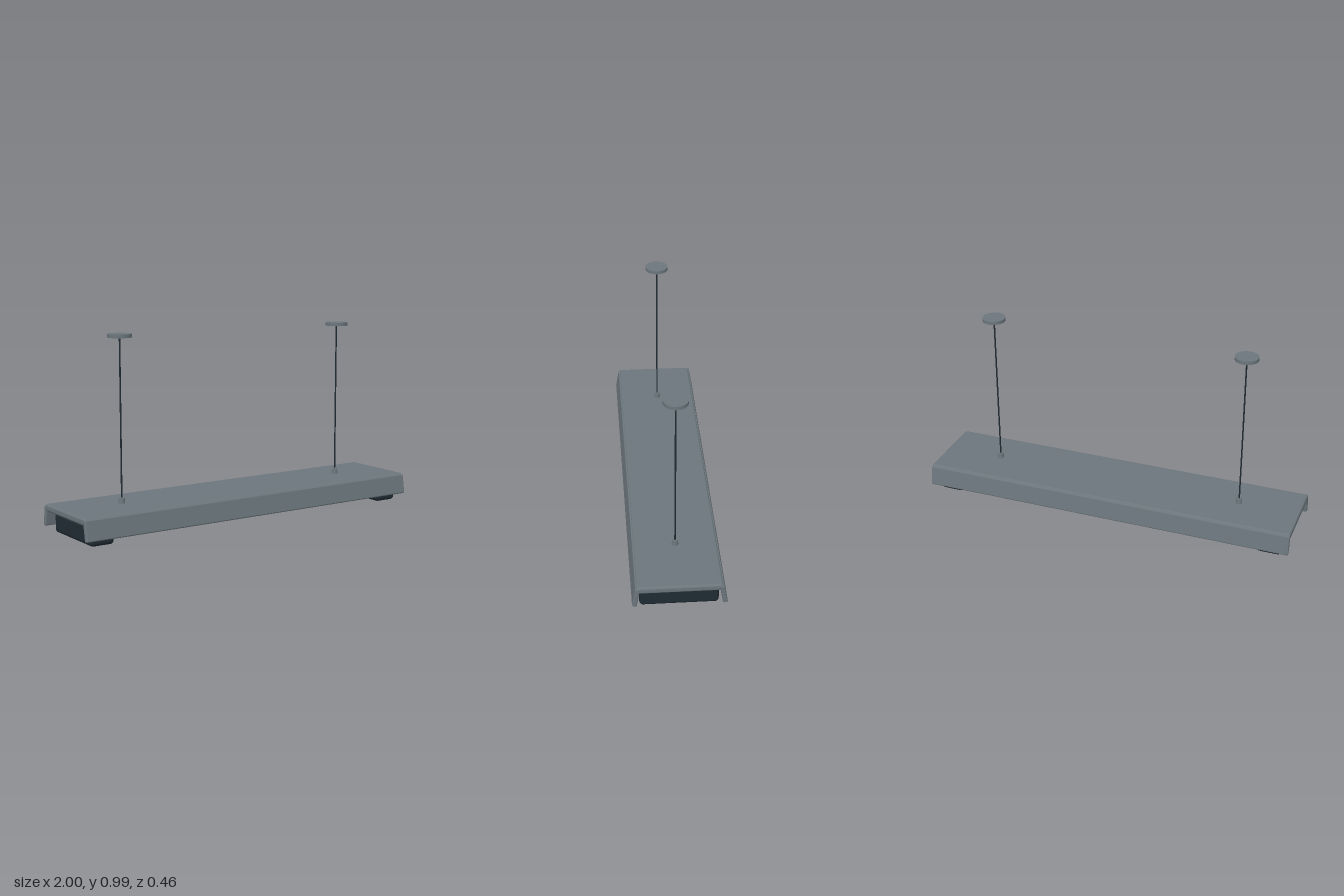
import * as THREE from 'three';
import { RoundedBoxGeometry } from 'three/addons/geometries/RoundedBoxGeometry.js';

function material(name, color) {
  const m = new THREE.MeshStandardMaterial({ color });
  m.name = name;
  return m;
}

export function createModel() {
  const metal = material('grey metal', 0x6b767c);
  const dark = material('dark plastic', 0x1f2b33);
  const glass = material('pale tube', 0xc0cccf);

  const model = new THREE.Group();
  model.name = 'pendantLight';

  function add(name, geometry, mat, x, y, z) {
    const mesh = new THREE.Mesh(geometry, mat);
    mesh.name = name;
    mesh.position.set(x, y, z);
    model.add(mesh);
    return mesh;
  }

  // Shade: flat top with a splayed flange along each long side
  add('shadeTop', new RoundedBoxGeometry(2, 0.037, 0.414, 4, 0.012), metal, 0, 0.1285, 0);
  const flange = new RoundedBoxGeometry(2, 0.106, 0.024, 4, 0.007);
  for (const s of [-1, 1]) {
    add('shadeFlange', flange, metal, 0, 0.087, s * 0.2095).rotation.x = -s * 0.17;
  }

  // Lamp tubes
  const tube = new THREE.CylinderGeometry(0.028, 0.028, 1.7, 32).rotateZ(Math.PI / 2);
  for (const s of [-1, 1]) add('lampTube', tube, glass, 0, 0.043, s * 0.1);

  const endCap = new RoundedBoxGeometry(0.127, 0.1, 0.384, 4, 0.018);
  const collar = new THREE.CylinderGeometry(0.032, 0.032, 0.02, 32).rotateZ(Math.PI / 2);
  const ferrule = new THREE.CylinderGeometry(0.014, 0.017, 0.032, 24);
  const rod = new THREE.CylinderGeometry(0.004, 0.004, 0.82, 12);
  const canopy = new THREE.CylinderGeometry(0.06, 0.06, 0.018, 40);

  for (const s of [-1, 1]) {
    // Lamp holders at each end
    add('endCap', endCap, dark, s * 0.893, 0.05, 0);
    for (const z of [-0.1, 0.1]) add('tubeCollar', collar, dark, s * 0.83, 0.043, z);

    // Suspension
    add('rodFerrule', ferrule, metal, s * 0.68, 0.16, 0);
    add('suspensionRod', rod, dark, s * 0.68, 0.57, 0);
    add('ceilingCanopy', canopy, metal, s * 0.68, 0.981, 0);
  }

  return model;
}
